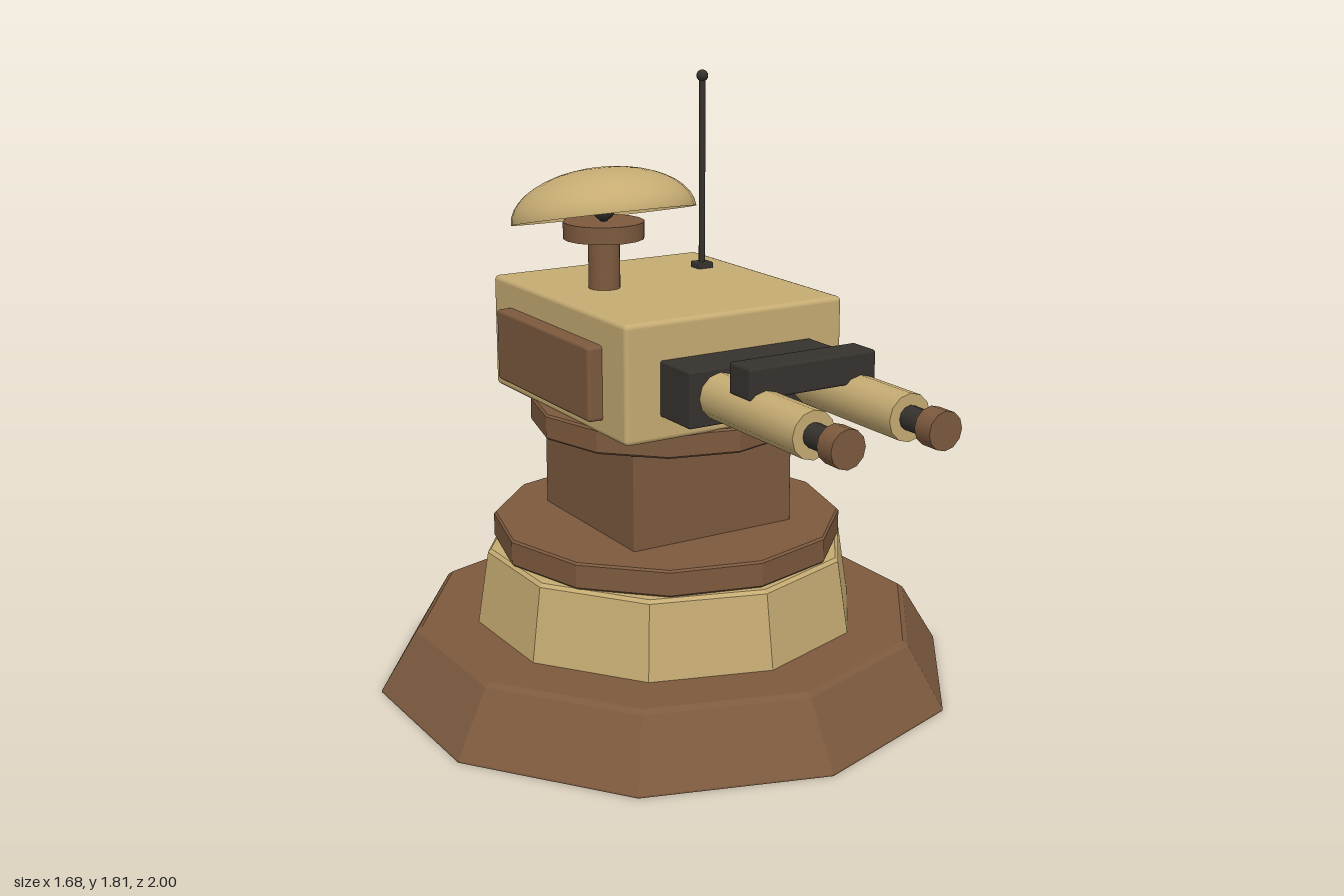
import * as THREE from 'three';
import { RoundedBoxGeometry } from 'three/addons/geometries/RoundedBoxGeometry.js';

const mat = (color, extra = {}) => new THREE.MeshStandardMaterial({ color, ...extra });
const BROWN = 0x7d5a3e, TAN = 0xc6ac73, DARK = 0x36322e;
const flat = { flatShading: true };
const AXIS_Z = -0.117; // centre of the turning column

export function createModel() {
  const model = new THREE.Group();

  function add(name, geometry, material, x, y, z) {
    const mesh = new THREE.Mesh(geometry, material);
    mesh.name = name;
    mesh.position.set(x, y, z);
    model.add(mesh);
    return mesh;
  }

  // Softened box given by its extents on each axis
  function box(name, color, [x0, x1], [y0, y1], [z0, z1], bevel = 0.01) {
    const geometry = new RoundedBoxGeometry(x1 - x0, y1 - y0, z1 - z0, 2, bevel);
    return add(name, geometry, mat(color), (x0 + x1) / 2, (y0 + y1) / 2, (z0 + z1) / 2);
  }

  // Closed faceted ring around the column, from a [radius, y] profile
  function tier(name, color, sides, profile) {
    const points = [[0, profile[0][1]], ...profile, [0, profile.at(-1)[1]]]
      .map(([r, y]) => new THREE.Vector2(r, y));
    return add(name, new THREE.LatheGeometry(points, sides), mat(color, flat), 0, 0, AXIS_Z);
  }

  // Upright post
  function post(name, color, x, z, r, y0, y1, sides = 16) {
    return add(name, new THREE.CylinderGeometry(r, r, y1 - y0, sides), mat(color), x, (y0 + y1) / 2, z);
  }

  // Pedestal
  tier('base', BROWN, 10, [[0.883, 0], [0.883, 0.005], [0.772, 0.188], [0.755, 0.2]]);
  tier('collar', TAN, 10, [[0.584, 0.2], [0.55, 0.42], [0.54, 0.43]]);
  tier('lowerRing', BROWN, 12, [[0.52, 0.43], [0.526, 0.436], [0.526, 0.504], [0.52, 0.51]]);
  box('column', BROWN, [-0.27, 0.27], [0.5, 0.81], [AXIS_Z - 0.27, AXIS_Z + 0.27], 0.004);
  tier('turntable', BROWN, 12, [[0.4, 0.797], [0.406, 0.803], [0.406, 0.866], [0.4, 0.872]]);

  // Head with side and rear panels
  box('head', TAN, [-0.36, 0.36], [0.865, 1.207], [-0.537, 0.27], 0.015);
  for (const s of [-1, 1]) {
    const x = [s * 0.34, s * 0.405].sort((a, b) => a - b);
    box(s > 0 ? 'leftPanel' : 'rightPanel', BROWN, x, [0.91, 1.125], [-0.43, 0.14]);
  }
  box('rearBox', BROWN, [-0.2, 0.2], [0.935, 1.117], [-0.652, -0.52]);

  // Twin barrels in a shared mount
  box('barrelMount', DARK, [-0.25, 0.25], [0.937, 1.096], [0.25, 0.42], 0.006);
  box('barrelBrace', DARK, [-0.203, 0.203], [1.06, 1.147], [0.54, 0.64], 0.008);
  for (const s of [-1, 1]) {
    const barrel = new THREE.Group();
    barrel.name = s > 0 ? 'leftBarrel' : 'rightBarrel';
    const sections = [
      ['barrelTube', TAN, 0.066, 0.4, 0.855],
      ['barrelNeck', DARK, 0.034, 0.84, 0.95],
      ['barrelTip', BROWN, 0.053, 0.94, 1.0],
    ];
    for (const [name, color, r, z0, z1] of sections) {
      const geometry = new THREE.CylinderGeometry(r, r, z1 - z0, 12).rotateX(Math.PI / 2);
      const mesh = new THREE.Mesh(geometry, mat(color));
      mesh.name = name;
      mesh.position.z = (z0 + z1) / 2;
      barrel.add(mesh);
    }
    barrel.position.set(s * 0.152, 1.018, 0);
    model.add(barrel);
  }

  // Dish on its mast: a squashed half sphere, open below and tipped back
  const dishX = -0.164, dishZ = -0.195;
  post('dishMast', BROWN, dishX, dishZ, 0.047, 1.19, 1.36);
  post('dishMastCap', BROWN, dishX, dishZ, 0.12, 1.355, 1.405);
  const dome = new THREE.SphereGeometry(0.272, 24, 10, 0, Math.PI * 2, 0, Math.PI / 2).scale(1, 0.52, 1);
  const dish = add('dish', dome, mat(TAN, { side: THREE.DoubleSide }), dishX, 1.42, dishZ);
  dish.rotation.x = -0.213;
  add('dishFeed', new THREE.SphereGeometry(0.034, 10, 8), mat(DARK), dishX, 1.44, dishZ);
  post('dishFeedStem', DARK, dishX, dishZ, 0.012, 1.4, 1.55, 8);

  // Whip antenna
  box('antennaFoot', DARK, [0.215, 0.267], [1.195, 1.225], [-0.328, -0.276], 0.004);
  post('antennaRod', DARK, 0.241, -0.302, 0.01, 1.2, 1.79, 8);
  add('antennaTip', new THREE.SphereGeometry(0.018, 10, 8), mat(DARK), 0.241, 1.795, -0.302);

  return model;
}
